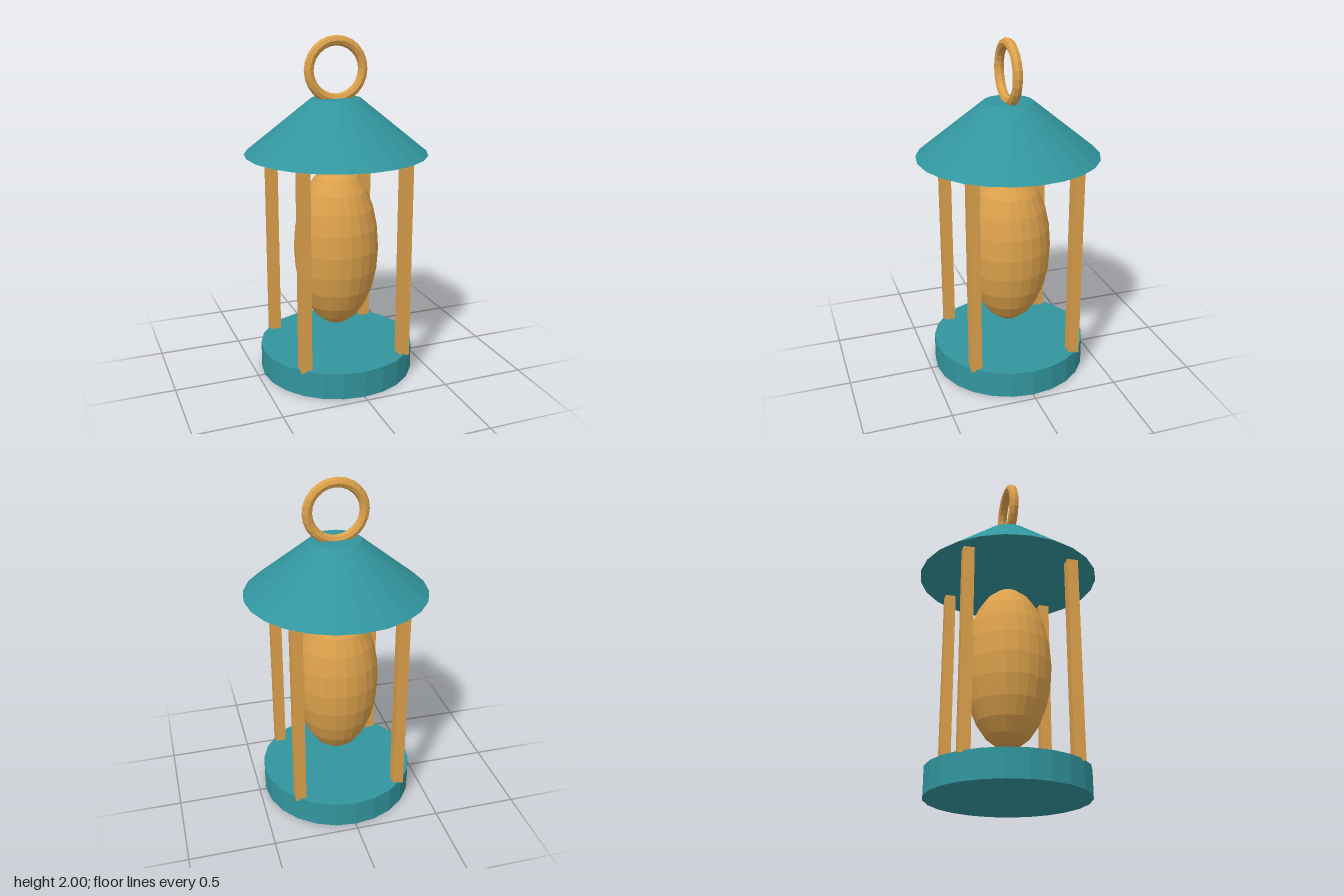
import * as THREE from 'three';

export function createModel() {
  const group = new THREE.Group();
  group.name = 'lantern';

  const teal = new THREE.MeshStandardMaterial({ color: 0x32959e, flatShading: true });
  teal.name = 'teal';
  const ochre = new THREE.MeshStandardMaterial({ color: 0xdca14c, flatShading: true });
  ochre.name = 'ochre';

  const add = (name, geometry, material, x, y, z) => {
    const mesh = new THREE.Mesh(geometry, material);
    mesh.name = name;
    mesh.position.set(x, y, z);
    group.add(mesh);
    return mesh;
  };

  // Round base and truncated cone roof
  add('base', new THREE.CylinderGeometry(0.46, 0.46, 0.158, 24), teal, 0, 0.079, 0);
  add('roof', new THREE.CylinderGeometry(0.142, 0.53, 0.315, 24), teal, 0, 1.492, 0);

  // Elongated glowing body
  const body = new THREE.SphereGeometry(0.252, 24, 12);
  body.scale(1, 0.491 / 0.252, 1);
  add('lampBody', body, ochre, 0, 0.768, 0);

  // Four square posts, just overhanging the rim of the base
  const post = new THREE.BoxGeometry(0.064, 1.195, 0.064);
  for (const [side, x] of [['Left', 0.304], ['Right', -0.304]]) {
    for (const [end, z] of [['front', 0.304], ['back', -0.304]]) {
      add(`${end}${side}Post`, post, ochre, x, 0.7435, z);
    }
  }

  // Carrying ring
  add('ring', new THREE.TorusGeometry(0.162, 0.029, 8, 24), ochre, 0, 1.809, 0);

  return group;
}
